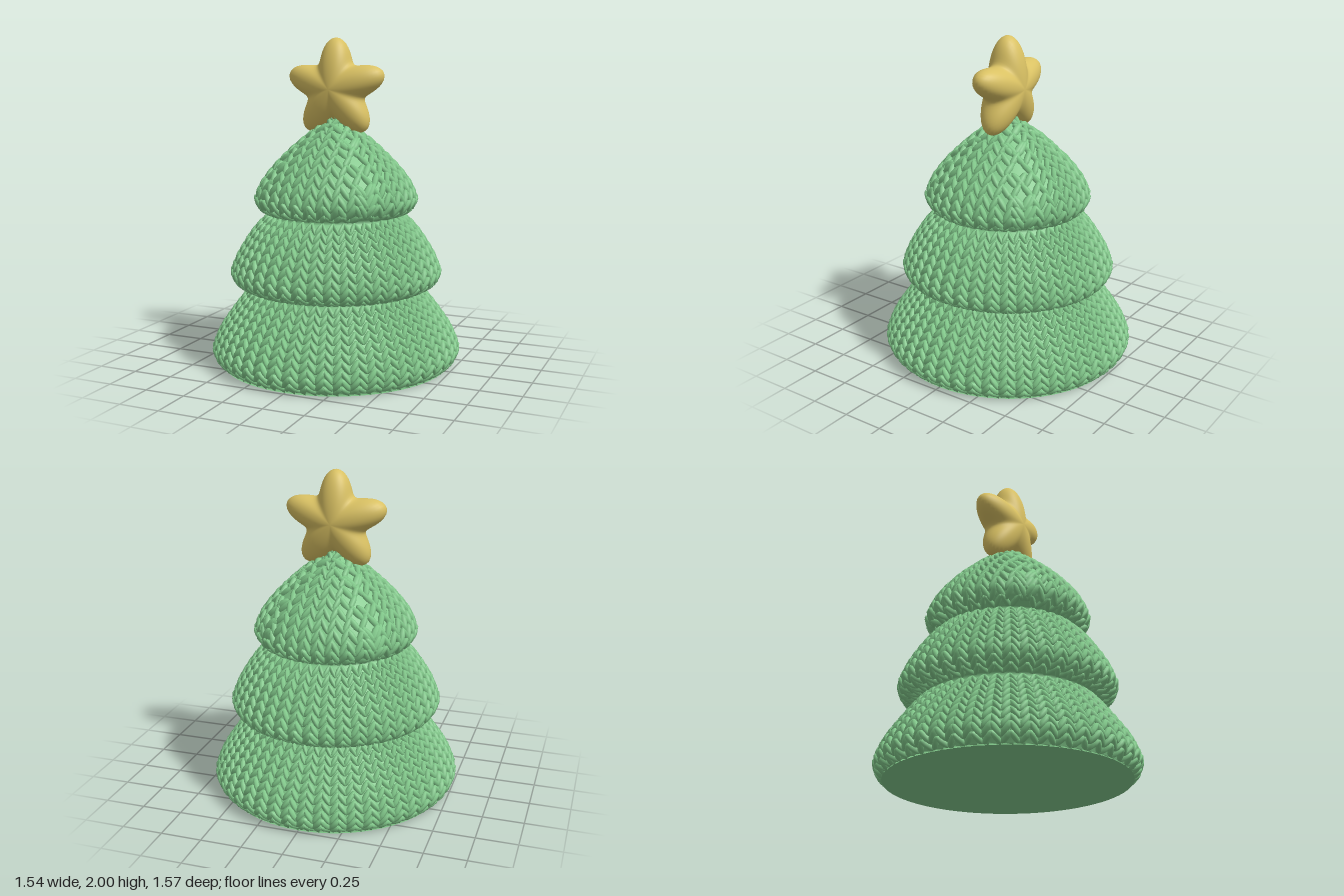
import * as THREE from 'three';
import { mergeGeometries, mergeVertices } from 'three/addons/utils/BufferGeometryUtils.js';

const green = new THREE.MeshStandardMaterial({ color: 0x82c98b });
green.name = 'yarn green';
const gold = new THREE.MeshStandardMaterial({ color: 0xd9c163 });
gold.name = 'star gold';

const DEPTH = 1.02; // the tree is slightly deeper than wide
const TAU = Math.PI * 2;

// Outer [radius, height] profile of each tier, bottom to top
const tiers = [
  { name: 'bottomTier', columns: 48, rows: 10,
    profile: [[0.715, 0.005], [0.75, 0.04], [0.767, 0.1], [0.73, 0.2], [0.665, 0.3], [0.59, 0.4], [0.53, 0.47]] },
  { name: 'middleTier', columns: 42, rows: 10,
    profile: [[0.53, 0.465], [0.61, 0.5], [0.648, 0.56], [0.625, 0.65], [0.57, 0.75], [0.5, 0.85], [0.42, 0.93]] },
  { name: 'topTier', columnWidth: 0.084, rows: 12,
    profile: [[0.41, 0.925], [0.47, 0.96], [0.497, 1.02], [0.47, 1.11], [0.4, 1.21], [0.305, 1.31], [0.19, 1.41], [0.03, 1.525]] },
];

// Angles and widths of the stitch columns in one row
function rowColumns(tier, r) {
  const list = [];
  if (tier.columns) {
    for (let i = 0; i < tier.columns; i++) list.push([i / tier.columns * TAU, TAU * r / tier.columns]);
    return list;
  }
  // Four panels of parallel columns that end at diagonal seams
  const w = tier.columnWidth;
  const n = Math.floor(r * Math.SQRT1_2 / w + 0.15);
  for (let q = 0; q < 4; q++) {
    for (let k = -n; k <= n; k++) {
      const a = Math.asin(Math.min(0.74, Math.max(-0.74, k * w / r)));
      list.push([q * Math.PI / 2 + a, Math.min(w / Math.cos(a), TAU * r / 4)]);
    }
  }
  return list;
}

// Plump stitches laid in V shapes over one tier
function knit(tier, curve) {
  const loop = new THREE.SphereGeometry(1, 7, 5);
  loop.deleteAttribute('uv');
  const parts = [];
  const rowHeight = curve.getLength() / tier.rows;
  for (let j = 0; j < tier.rows; j++) {
    const u = (j + 0.5) / tier.rows;
    const p = curve.getPointAt(u);
    const slope = curve.getTangentAt(u);
    for (const [angle, width] of rowColumns(tier, p.x)) {
      const s = Math.sin(angle), c = Math.cos(angle);
      const across = new THREE.Vector3(c, 0, -s);
      const up = new THREE.Vector3(s * slope.x, slope.y, c * slope.x);
      const out = new THREE.Vector3(s * slope.y, -slope.x, c * slope.y);
      for (const side of [-1, 1]) {
        const along = up.clone().multiplyScalar(rowHeight * 1.25)
          .addScaledVector(across, side * width * 0.5).addScaledVector(out, 0.008);
        const half = along.length() * 0.6;
        along.normalize();
        const wide = new THREE.Vector3().crossVectors(along, out).normalize();
        const thick = new THREE.Vector3().crossVectors(wide, along);
        const lean = Math.abs(along.dot(across));
        const m = new THREE.Matrix4().makeBasis(
          wide.multiplyScalar(Math.max(0.013, rowHeight * lean * 0.58)),
          along.multiplyScalar(half),
          thick.multiplyScalar(0.023));
        m.setPosition(new THREE.Vector3(s * p.x, p.y, c * p.x)
          .addScaledVector(out, -0.02).addScaledVector(across, side * width * 0.25));
        parts.push(loop.clone().applyMatrix4(m));
      }
    }
  }
  const geo = mergeGeometries(parts);
  // Flatten whatever would dip below the base
  const pos = geo.attributes.position;
  for (let i = 0; i < pos.count; i++) pos.setY(i, Math.max(0.002, pos.getY(i)));
  return geo;
}

// Puffy five-pointed star: a sphere whose radius swells at five points
function starGeometry() {
  const geo = new THREE.SphereGeometry(1, 100, 28);
  geo.rotateX(Math.PI / 2);
  const pos = geo.attributes.position;
  for (let i = 0; i < pos.count; i++) {
    const x = pos.getX(i), y = pos.getY(i);
    const r = 0.247 + 0.063 * Math.cos(5 * Math.atan2(x, y));
    pos.setXYZ(i, x * r * 1.045, y * r, pos.getZ(i) * 0.125);
  }
  geo.deleteAttribute('uv');
  geo.deleteAttribute('normal');
  const welded = mergeVertices(geo, 1e-5);
  welded.computeVertexNormals();
  return welded;
}

export function createModel() {
  const model = new THREE.Group();
  model.name = 'knittedTree';

  const tree = new THREE.Group();
  tree.name = 'tree';
  tree.scale.z = DEPTH;
  model.add(tree);

  // Knitted tiers, gathering the solid core profile beneath them
  const core = [new THREE.Vector2(0, 0), new THREE.Vector2(0.715, 0)];
  for (const tier of tiers) {
    const curve = new THREE.SplineCurve(tier.profile.map(([r, y]) => new THREE.Vector2(r, y)));
    const stitches = new THREE.Mesh(knit(tier, curve), green);
    stitches.name = tier.name;
    tree.add(stitches);
    for (let i = 0; i <= 10; i++) {
      const p = curve.getPointAt(i / 10), t = curve.getTangentAt(i / 10);
      core.push(new THREE.Vector2(Math.max(0.005, p.x - t.y * 0.018), Math.max(0.004, p.y + t.x * 0.018)));
    }
  }
  core.push(new THREE.Vector2(0, 1.515));
  const body = new THREE.Mesh(new THREE.LatheGeometry(core, 72), green);
  body.name = 'treeCore';
  tree.add(body);

  // Star on top
  const star = new THREE.Mesh(starGeometry(), gold);
  star.name = 'star';
  star.position.y = 1.69;
  model.add(star);

  return model;
}
